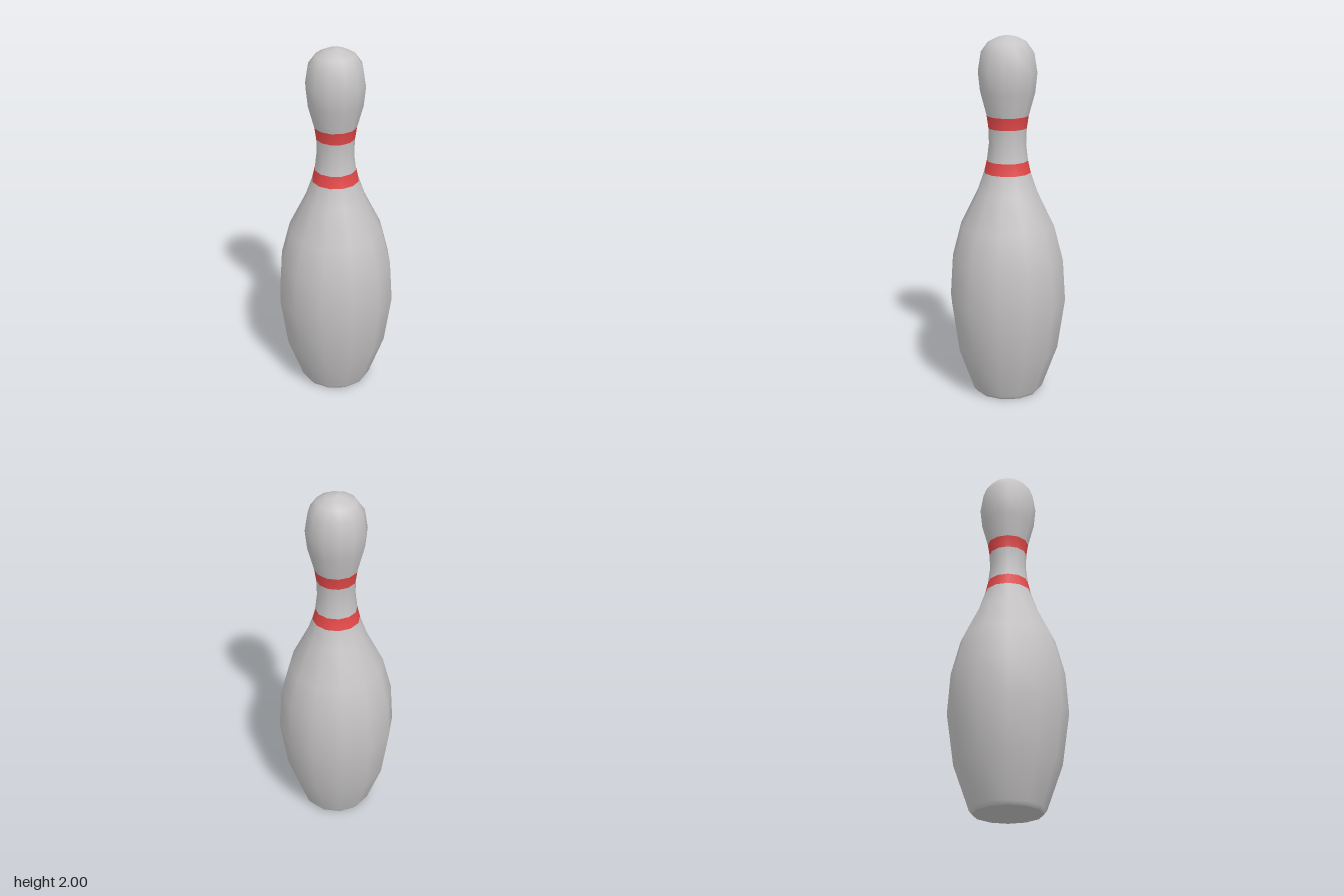
import * as THREE from 'three';

const SIDES = 12;

// Outline from the base rim to the crown: [radius, height]
const PROFILE = [
  [0.185, 0.0], [0.2, 0.02], [0.285, 0.26], [0.325, 0.545], [0.31, 0.775],
  [0.26, 0.967], [0.165, 1.16], [0.128, 1.265], [0.113, 1.33], [0.102, 1.42],
  [0.105, 1.508], [0.115, 1.575], [0.149, 1.7], [0.16, 1.805], [0.143, 1.91],
  [0.105, 1.963], [0.05, 1.99], [0, 2.0],
];
const STRIPE_ROWS = [7, 10]; // profile rows that start a painted stripe

export function createModel() {
  const body = new THREE.MeshStandardMaterial({ color: 0xc6c4c4 });
  body.name = 'pin grey';
  const stripe = new THREE.MeshStandardMaterial({ color: 0xe34848 });
  stripe.name = 'stripe red';

  // One smooth lathe, its faces reordered row by row so the stripes are groups
  const points = PROFILE.map(([r, y]) => new THREE.Vector2(r, y));
  const n = points.length;
  const shell = new THREE.LatheGeometry(points, SIDES);
  const index = [];
  shell.clearGroups();
  for (let row = 0; row < n - 1; row++) {
    const start = index.length;
    for (let i = 0; i < SIDES; i++) {
      const a = row + i * n, b = a + n;
      index.push(a, b, a + 1);
      if (row < n - 2) index.push(b + 1, a + 1, b);
    }
    shell.addGroup(start, index.length - start, STRIPE_ROWS.includes(row) ? 1 : 0);
  }
  shell.setIndex(index);
  const pin = new THREE.Mesh(shell, [body, stripe]);
  pin.name = 'pinBody';

  // Flat underside
  const base = new THREE.Mesh(new THREE.CircleGeometry(PROFILE[0][0], SIDES), body);
  base.rotation.x = Math.PI / 2;
  base.name = 'base';

  const group = new THREE.Group();
  group.name = 'bowlingPin';
  group.add(pin, base);
  return group;
}
